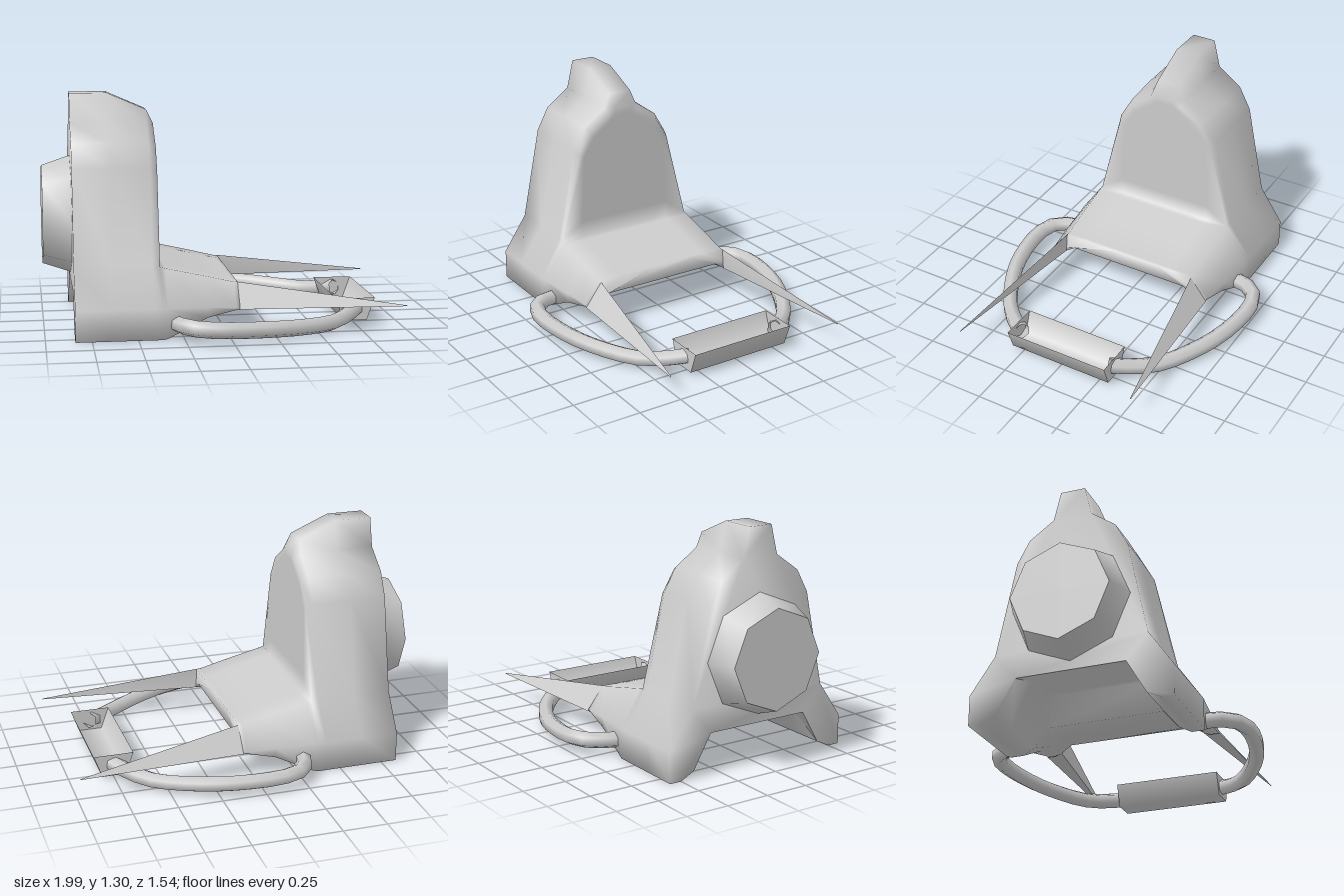
import * as THREE from 'three';
import { toCreasedNormals } from 'three/addons/utils/BufferGeometryUtils.js';

const material = new THREE.MeshStandardMaterial({ color: 0xcccccc, side: THREE.DoubleSide });

// Close a half outline of [z, y] points (top to bottom on +z) into a full symmetric loop
const mirrored = (half) => [...half, ...half.slice().reverse().map(([z, y]) => [-z, y])];

// Skin a row of sections [x, loop of [z, y]] running towards +x, with both ends capped
function loft(sections, crease) {
  const n = sections[0][1].length;
  const positions = [];
  const index = [];
  sections.forEach(([x, loop]) => loop.forEach(([z, y]) => positions.push(x, y, z)));
  for (let i = 0; i < sections.length - 1; i++) {
    for (let j = 0; j < n; j++) {
      const a = i * n + j, b = i * n + (j + 1) % n;
      index.push(a, b, b + n, a, b + n, a + n);
    }
  }
  const cap = (s, flip) => {
    const flat = sections[s][1].map(([z, y]) => new THREE.Vector2(-z, y));
    for (const [a, b, c] of THREE.ShapeUtils.triangulateShape(flat, [])) {
      const o = s * n;
      index.push(...(flip ? [o + a, o + c, o + b] : [o + a, o + b, o + c]));
    }
  };
  cap(0, true);
  cap(sections.length - 1, false);
  const geometry = new THREE.BufferGeometry();
  geometry.setAttribute('position', new THREE.Float32BufferAttribute(positions, 3));
  geometry.setIndex(index);
  return toCreasedNormals(geometry, crease);
}

export function createModel() {
  const group = new THREE.Group();
  const add = (name, geometry) => {
    const mesh = new THREE.Mesh(geometry, material);
    mesh.name = name;
    group.add(mesh);
    return mesh;
  };

  // Outlines of the back rest, the seat top and the flared skirt with its hollow underside
  const back = [[0.07, 1.305], [0.11, 1.14], [0.25, 1.04], [0.32, 0.91]];
  const backCurve = [[0.07, 1.21], [0.105, 1.13], [0.24, 1.035], [0.315, 0.905]];
  const backFront = [[0.06, 1.13], [0.1, 1.1], [0.225, 1.015], [0.3, 0.89]];
  const backPanel = [[0.05, 1.09], [0.09, 1.06], [0.2, 0.98], [0.27, 0.87]];
  const seat = (y) => [0.06, 0.1, 0.2, 0.29].map((z) => [z, y]);
  const skirt = (hollow) => [[0.43, 0.375], [0.57, 0.17], [0.57, 0], [0.5, 0], [0.42, 0.04], [0.31, hollow]];
  const lip = [...seat(0.28), [0.42, 0.28], [0.52, 0.155], [0.515, 0.142], [0.47, 0.142], [0.44, 0.15], [0.37, 0.197]];

  // Back rest, seat plate and base in one skin
  add('seatBody', loft([
    [-0.84, mirrored([...back, ...skirt(0.23)])],
    [-0.63, mirrored([...back, ...skirt(0.3)])],
    [-0.41, mirrored([...backCurve, ...skirt(0.32)])],
    [-0.37, mirrored([...backFront, ...skirt(0.32)])],
    [-0.37, mirrored([...backPanel, ...skirt(0.32)])],
    [-0.37, mirrored([...seat(0.47), ...skirt(0.32)])],
    [-0.37, mirrored([...seat(0.375), ...skirt(0.32)])],
    [-0.34, mirrored([...seat(0.367), [0.43, 0.367], [0.565, 0.17], [0.56, 0.003], [0.49, 0.003], [0.42, 0.04], [0.33, 0.145]])],
    [-0.12, mirrored([...seat(0.318), [0.425, 0.318], [0.54, 0.165], [0.54, 0.11], [0.48, 0.11], [0.43, 0.13], [0.35, 0.175]])],
    [0.04, mirrored(lip)],
    [0.06, mirrored(lip)],
  ], 1.7));

  // Tapered octagonal boss on the rear
  const boss = new THREE.CylinderGeometry(0.28, 0.335, 0.16, 8);
  add('rearBoss', toCreasedNormals(boss.rotateZ(Math.PI / 2), 0.9)).position.set(-0.92, 0.615, 0);

  for (const side of [1, -1]) {
    const label = side > 0 ? 'left' : 'right';

    // Long pointed prong continuing the edge of the seat
    const place = (loop) => (side > 0 ? loop : loop.map(([z, y]) => [-z, y]).reverse());
    add(label + 'Prong', loft([
      [0.06, place([[0.42, 0.28], [0.52, 0.145], [0.43, 0.155]])],
      [0.99, place([[0.553, 0.148], [0.556, 0.144], [0.552, 0.144]])],
    ], 0.5));

    // Bowed tube from the base to the foot bar
    const path = new THREE.CatmullRomCurve3([
      [-0.285, 0.08, 0.54], [-0.26, 0.085, 0.63], [-0.2, 0.085, 0.7], [-0.08, 0.08, 0.73],
      [0.2, 0.068, 0.69], [0.42, 0.055, 0.595], [0.58, 0.05, 0.49], [0.68, 0.065, 0.39], [0.76, 0.09, 0.29],
    ].map(([x, y, z]) => new THREE.Vector3(x, y, z * side)));
    add(label + 'Tube', new THREE.TubeGeometry(path, 14, 0.046, 6));
  }

  // Foot bar: a trough, narrower at the bottom and open on top
  const bar = new THREE.BoxGeometry(0.225, 0.127, 0.63);
  const corners = bar.attributes.position;
  for (let i = 0; i < corners.count; i++) {
    if (corners.getY(i) < 0) corners.setX(i, corners.getX(i) * 0.6);
  }
  const faces = [...bar.index.array];
  faces.splice(12, 6);
  bar.setIndex(faces);
  add('footBar', toCreasedNormals(bar, 1.3)).position.set(0.752, 0.083, 0);

  return group;
}
